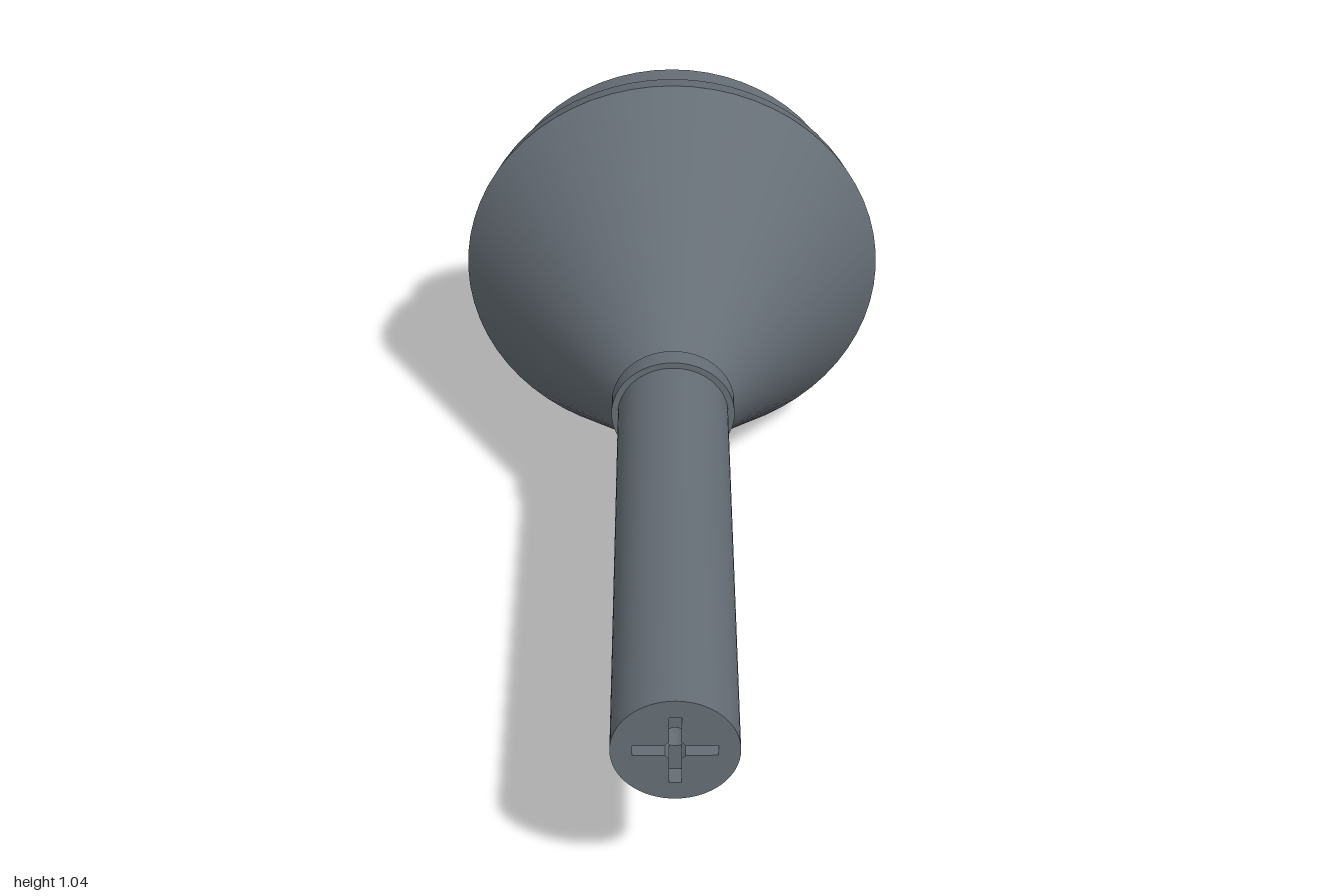
import * as THREE from 'three';
import { mergeGeometries, toCreasedNormals } from 'three/addons/utils/BufferGeometryUtils.js';

const SIDES = 64;
const BORE = 0.024;
const SHAFT = 0.129;

// Turned solid about z from [radius, z] points; each segment keeps sharp ends
function turned(profile) {
  const bands = [];
  for (let i = 0; i < profile.length - 1; i++) {
    const pair = [profile[i], profile[i + 1]].map(([r, z]) => new THREE.Vector2(r, z));
    bands.push(new THREE.LatheGeometry(pair, SIDES));
  }
  return mergeGeometries(bands).rotateX(Math.PI / 2);
}

// Cross-shaped slot joined with the round bore
function crossSlot(reach, halfWidth) {
  const points = [];
  const a = Math.asin(halfWidth / BORE);
  for (let k = 0; k < 4; k++) {
    const turn = (k * Math.PI) / 2;
    const centre = new THREE.Vector2(0, 0);
    points.push(new THREE.Vector2(reach, -halfWidth).rotateAround(centre, turn));
    points.push(new THREE.Vector2(reach, halfWidth).rotateAround(centre, turn));
    for (let j = 0; j <= 4; j++) {
      const t = turn + a + (j / 4) * (Math.PI / 2 - 2 * a);
      points.push(new THREE.Vector2(Math.cos(t) * BORE, Math.sin(t) * BORE));
    }
  }
  return new THREE.Path(points);
}

export function createModel() {
  const model = new THREE.Group();
  const slate = new THREE.MeshStandardMaterial({ color: 0x656d75 });
  slate.name = 'slate grey';

  function add(name, geometry) {
    const mesh = new THREE.Mesh(geometry, slate);
    mesh.name = name;
    mesh.position.y = 0.52;
    model.add(mesh);
  }

  // Hollow funnel: bore, inner cone, ledge, mouth, rim, flange, outer cone
  add('funnel', turned([
    [BORE, -0.2], [BORE, -0.27], [0.385, -0.85], [0.397, -0.85], [0.397, -1],
    [0.46, -1], [0.46, -0.86], [0.505, -0.86], [0.52, -0.795], [0.13, -0.195],
  ]));

  // Collar where the shaft meets the funnel
  add('collar', turned([
    [SHAFT, -0.197], [0.144, -0.197], [0.144, -0.148], [SHAFT, -0.148],
  ]));

  // Long shaft with a bore; its end face is the floor of the slot
  add('shaft', turned([
    [SHAFT, -0.197], [SHAFT, 0.96], [BORE, 0.96], [BORE, -0.2],
  ]));

  // Slotted tip of the shaft
  const disc = new THREE.Shape().absarc(0, 0, SHAFT, 0, Math.PI * 2, false);
  disc.holes.push(crossSlot(0.085, 0.0125));
  const tip = new THREE.ExtrudeGeometry(disc, {
    depth: 0.04, bevelEnabled: false, curveSegments: SIDES / 2,
  });
  tip.translate(0, 0, 0.96);
  add('slottedTip', toCreasedNormals(tip, 0.5));

  return model;
}
